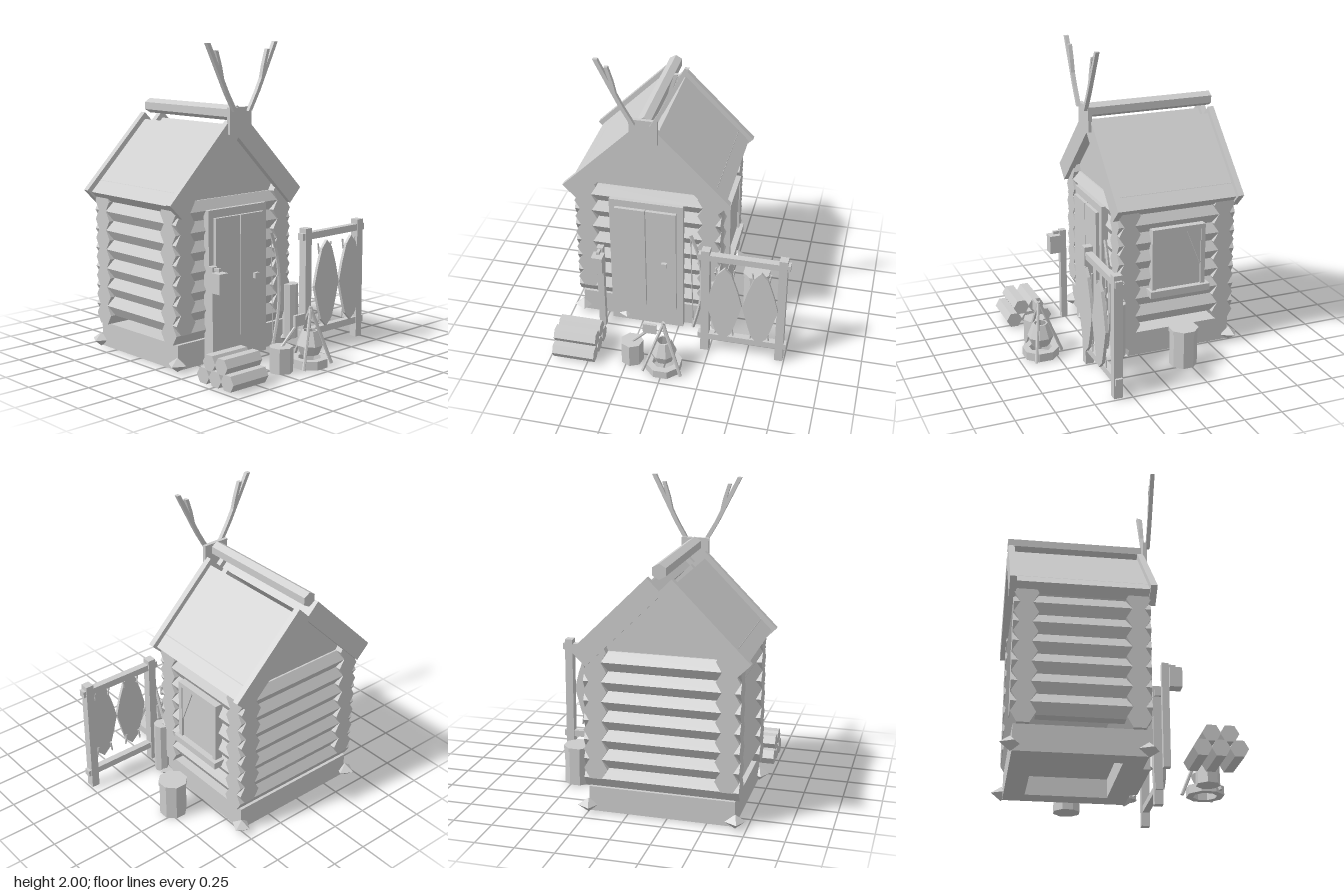
import * as THREE from 'three';

const grey = new THREE.MeshStandardMaterial({ color: 0xcccccc });
grey.name = 'plain grey';
const CX = -0.215, CZ = -0.255;

export function createModel() {
  const root = new THREE.Group();

  // Faceted mesh at a position
  const add = (name, geo, x = 0, y = 0, z = 0, parent = root) => {
    const g = geo.index ? geo.toNonIndexed() : geo;
    g.computeVertexNormals();
    const m = new THREE.Mesh(g, grey);
    m.name = name;
    m.position.set(x, y, z);
    parent.add(m);
    return m;
  };
  // Box from its min and max corners
  const box = (name, x0, x1, y0, y1, z0, z1) => add(name,
    new THREE.BoxGeometry(x1 - x0, y1 - y0, z1 - z0), (x0 + x1) / 2, (y0 + y1) / 2, (z0 + z1) / 2);
  // Outline in xy, extruded from z0 to z1
  const plate = (name, pts, z0, z1) => add(name, new THREE.ExtrudeGeometry(
    new THREE.Shape(pts.map(p => new THREE.Vector2(p[0], p[1]))),
    { depth: z1 - z0, bevelEnabled: false }), 0, 0, z0);
  // Straight rod between two points
  const rod = (name, a, b, r0, r1 = r0, sides = 6) => {
    const A = new THREE.Vector3(...a), B = new THREE.Vector3(...b), d = B.clone().sub(A);
    const m = add(name, new THREE.CylinderGeometry(r1, r0, d.length(), sides), ...A.clone().add(B).multiplyScalar(0.5));
    m.quaternion.setFromUnitVectors(new THREE.Vector3(0, 1, 0), d.normalize());
    return m;
  };
  const logX = (name, len, r, x, y, z) =>
    add(name, new THREE.CylinderGeometry(r, r, len, 6).rotateZ(Math.PI / 2), x, y, z);
  const logZ = (name, len, r, x, y, z) =>
    add(name, new THREE.CylinderGeometry(r, r, len, 6, 1, false, Math.PI / 6).rotateX(Math.PI / 2), x, y, z);

  // Log walls, the two directions stepped by half a log
  for (let i = 0; i < 7; i++) {
    const y = 0.235 + i * 0.1245;
    for (const s of [-1, 1]) {
      logX('crossLog', 0.97, 0.073, CX, y, CZ + s * 0.33);
      logZ('sideLog', 0.81, 0.075, CX + s * 0.41, y + 0.062, CZ);
    }
  }

  // Foundation frame, floor and corner stones
  for (const s of [-1, 1]) {
    box('foundationSide', CX + s * 0.395 - 0.065, CX + s * 0.395 + 0.065, 0.01, 0.17, CZ - 0.385, CZ + 0.385);
    box('foundationEnd', CX - 0.335, CX + 0.335, 0.01, 0.17, CZ + s * 0.32 - 0.065, CZ + s * 0.32 + 0.065);
  }
  box('floor', CX - 0.4, CX + 0.4, 0.13, 0.17, CZ - 0.33, CZ + 0.33);
  for (const [x, z] of [[-0.68, -0.65], [0.25, -0.65], [0.26, 0.13], [-0.68, 0.13], [-0.37, 0.16]]) {
    const r = x === -0.37 ? 0.05 : 0.065;
    add('stone', new THREE.OctahedronGeometry(r).scale(1, 0.7, 1), x, 0.05, z).rotation.y = 0.3;
  }

  // Roof slabs and bargeboards: 45 degree bands, outer line y = c - dx
  const band = (name, s, c, d0, d1, t, z0, z1) => {
    const k = t / Math.SQRT2;
    const pts = [[d0, c - d0], [d1, c - d1], [d1 - k, c - d1 - k], [d0 - k, c - d0 - k]];
    plate(name, pts.map(([d, y]) => [CX + s * d, y]), z0, z1);
  };
  for (const s of [-1, 1]) {
    band('roofSlab', s, 1.555, 0.075, 0.518, 0.075, -0.65, 0.14);
    band('frontBargeboard', s, 1.6, 0.075, 0.55, 0.13, 0.14, 0.18);
    band('backBargeboard', s, 1.6, 0.075, 0.55, 0.13, -0.69, -0.65);
  }
  const gable = [[CX - 0.43, 1.02], [CX + 0.43, 1.02], [CX, 1.45]];
  plate('frontGable', gable, 0.06, 0.1);
  plate('backGable', gable, -0.61, -0.57);
  add('ridgePole', new THREE.CylinderGeometry(0.048, 0.048, 0.86, 6).rotateX(Math.PI / 2), CX, 1.565, -0.26);

  // Antlers on a plaque
  box('antlerPlaque', CX - 0.09, CX + 0.09, 1.44, 1.605, 0.175, 0.2);
  const prong = (s, pts, w) => {
    const left = pts.map(([x, y]) => [CX + s * (x - w), y]);
    const right = pts.map(([x, y]) => [CX + s * (x + w), y]).reverse();
    plate('antler', [...left, ...right], 0.197, 0.223);
  };
  for (const s of [-1, 1]) {
    prong(s, [[0.06, 1.58], [0.13, 1.7], [0.2, 1.84], [0.28, 2.0]], 0.014);
    prong(s, [[0.165, 1.77], [0.185, 1.86], [0.215, 1.955]], 0.011);
  }

  // Double door
  box('doorFrame', -0.46, 0.03, 0.165, 0.985, 0.13, 0.175);
  box('doorLeafRight', -0.42, -0.218, 0.165, 0.935, 0.17, 0.198);
  box('doorLeafLeft', -0.212, -0.012, 0.165, 0.935, 0.17, 0.198);
  box('doorKnob', -0.106, -0.07, 0.515, 0.55, 0.198, 0.22);
  box('threshold', -0.46, 0.03, 0.01, 0.165, 0.12, 0.175);

  // Side window with curtains
  box('windowPane', 0.24, 0.28, 0.47, 0.86, -0.42, -0.09);
  box('windowFrameTop', 0.24, 0.295, 0.85, 0.88, -0.44, -0.07);
  box('windowFrameBack', 0.24, 0.295, 0.47, 0.85, -0.44, -0.41);
  box('windowFrameFront', 0.24, 0.295, 0.47, 0.85, -0.1, -0.07);
  box('windowSill', 0.24, 0.32, 0.425, 0.47, -0.465, -0.05);
  for (const pts of [[[0.1, 0.85], [0.2, 0.85], [0.1, 0.6]], [[0.31, 0.85], [0.41, 0.85], [0.41, 0.6]]]) {
    const c = plate('curtain', pts, 0, 0.008);
    c.rotation.y = Math.PI / 2;
    c.position.set(0.28, 0, 0);
  }

  // Lidded barrel
  const barrel = new THREE.Group();
  barrel.name = 'barrel';
  barrel.position.set(0.465, 0, -0.215);
  root.add(barrel);
  for (const [y, h, r] of [[0.135, 0.25, 0.089], [0.252, 0.026, 0.096]])
    add('barrelPart', new THREE.CylinderGeometry(r, r, h, 8, 1, false, Math.PI / 8), 0, y, 0, barrel);

  // Drying rack with two hides
  for (const x of [0.22, 0.715]) box('rackPost', x - 0.027, x + 0.027, 0.01, 0.815, 0.315, 0.372);
  for (const y of [0.125, 0.762]) box('rackRail', 0.172, 0.76, y - 0.022, y + 0.022, 0.322, 0.367);
  const half = [[0, 0.73], [0.045, 0.68], [0.085, 0.56], [0.115, 0.44], [0.075, 0.29], [0.05, 0.21], [0, 0.16]];
  for (const x of [0.352, 0.585]) {
    const pts = [...half.map(([d, y]) => [x + d, y]), ...half.slice(1, -1).reverse().map(([d, y]) => [x - d, y])];
    plate('hide', pts, 0.39, 0.41);
    for (const s of [-1, 1]) {
      rod('hideTieTop', [x + s * 0.05, 0.64, 0.385], [x + s * 0.06, 0.71, 0.385], 0.006);
      rod('hideTieBottom', [x + s * 0.05, 0.25, 0.385], [x + s * 0.06, 0.18, 0.385], 0.006);
    }
  }

  // Firewood stack
  for (const [y, z] of [[0.065, 0.425], [0.065, 0.53], [0.065, 0.635], [0.152, 0.478], [0.152, 0.583]])
    logX('firewood', 0.28, 0.055, -0.59, y, z);

  // Chopping block with axe
  add('choppingBlock', new THREE.CylinderGeometry(0.075, 0.075, 0.16, 7), -0.22, 0.09, 0.565);
  rod('axeHandle', [-0.22, 0.16, 0.565], [-0.09, 0.31, 0.592], 0.01);
  box('axeHead', -0.135, -0.048, 0.28, 0.35, 0.582, 0.602);

  // Fire ring, pot and tripod
  const lathe = (name, pts, y) => add(name, new THREE.LatheGeometry(
    pts.map(p => new THREE.Vector2(p[0], p[1])), 8, Math.PI / 8), 0, y, 0.595);
  lathe('fireRing', [[0.075, 0], [0.12, 0], [0.12, 0.055], [0.075, 0.055], [0.075, 0]], 0.01);
  lathe('pot', [[0, 0], [0.06, 0], [0.085, 0.06], [0.05, 0.15], [0.04, 0.15], [0.07, 0.06], [0, 0.02]], 0.085);
  for (const [x, z] of [[-0.125, 0.665], [0.125, 0.665], [0, 0.45]])
    rod('tripodLeg', [x, 0.015, z], [-x * 0.03, 0.385, 0.6], 0.011);

  // Lantern post
  box('lanternPost', -0.525, -0.482, 0.01, 0.66, 0.24, 0.282);
  box('lanternArm', -0.513, -0.493, 0.635, 0.655, 0.25, 0.325);
  box('lantern', -0.54, -0.466, 0.505, 0.63, 0.285, 0.36);

  // Bow and quiver leaning on the front wall
  const bow = [[0.08, 0.78], [0.13, 0.64], [0.157, 0.45], [0.15, 0.25], [0.1, 0.02]];
  add('bow', new THREE.TubeGeometry(new THREE.CatmullRomCurve3(
    bow.map(([x, y]) => new THREE.Vector3(x, y, 0.17))), 14, 0.012, 5), 0, 0, 0);
  rod('bowString', [0.08, 0.775, 0.17], [0.1, 0.025, 0.17], 0.004, 0.004, 4);
  add('quiver', new THREE.CylinderGeometry(0.052, 0.052, 0.365, 8), 0.27, 0.23, 0.158);

  return root;
}
